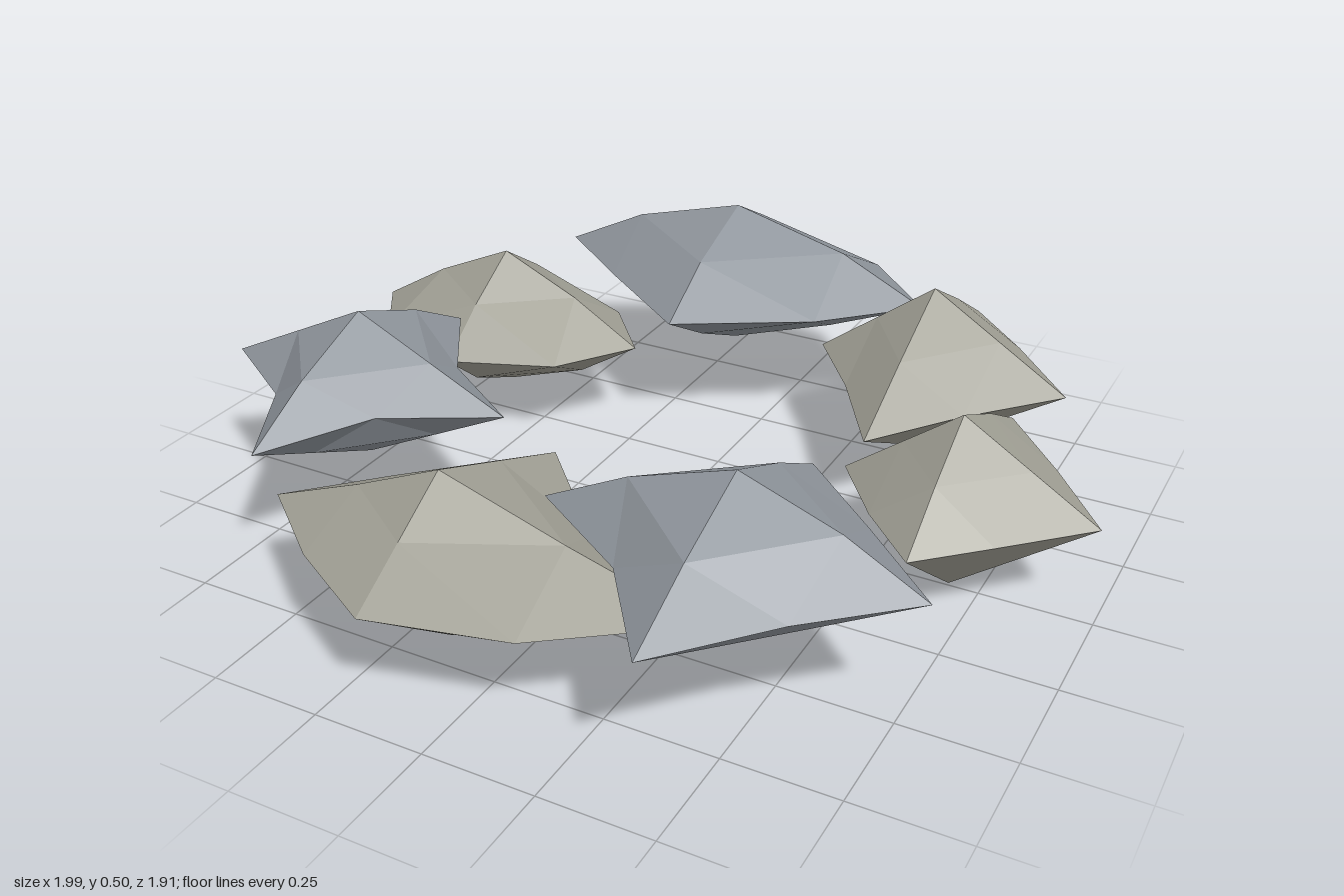
import * as THREE from 'three';

const warm = new THREE.MeshStandardMaterial({ color: 0xa3a297, flatShading: true });
const cool = new THREE.MeshStandardMaterial({ color: 0x90969d, flatShading: true });

// Stones in order around the ring.
// tips: reach of [+x, -x, +y, -y, +z, -z]; rim: bulge of the four waist corners
// in the order ++, -+, +-, --; ridge: bulge of [upper x, upper z, lower] ridges.
const stones = [
  { name: 'eastStone', mat: warm, tips: [0.31, 0.255, 0.19, 0.225, 0.3, 0.385],
    rim: [0.98, 0.95, 1.14, 1.03], ridge: [1, 1.04, 1] },
  { name: 'southEastStone', mat: cool, tips: [0.395, 0.425, 0.175, 0.195, 0.405, 0.37],
    rim: [0.94, 0.85, 0.97, 0.83], ridge: [1.1, 1.05, 1.06] },
  { name: 'southStone', mat: warm, tips: [0.595, 0.425, 0.175, 0.22, 0.29, 0.43],
    rim: [1.2, 0.89, 0.95, 1], ridge: [0.97, 1, 1] },
  { name: 'southWestStone', mat: cool, tips: [0.375, 0.36, 0.175, 0.18, 0.39, 0.385],
    rim: [0.7, 0.75, 0.8, 0.79], ridge: [1, 1.08, 1] },
  { name: 'northWestStone', mat: warm, tips: [0.37, 0.37, 0.19, 0.168, 0.28, 0.27],
    rim: [1.33, 1.34, 1.23, 1.18], ridge: [1.07, 1.05, 1.15] },
  { name: 'northStone', mat: cool, tips: [0.51, 0.49, 0.18, 0.19, 0.38, 0.275],
    rim: [1.23, 1.08, 1.25, 0.95], ridge: [1.15, 1.12, 1.05] },
  { name: 'northEastStone', mat: warm, tips: [0.34, 0.28, 0.21, 0.215, 0.42, 0.375],
    rim: [1.02, 0.92, 1.05, 0.9], ridge: [1, 1.02, 1] },
];

// Faceted stone: an octahedron with every edge split once
function stoneGeometry({ tips, rim, ridge }) {
  const points = [];
  const waistX = (tips[0] + tips[1]) / 4, waistZ = (tips[4] + tips[5]) / 4;
  for (const sx of [1, -1]) for (const sy of [1, -1]) for (const sz of [1, -1]) {
    const ix = sx > 0 ? 0 : 1, iy = sy > 0 ? 0 : 1, iz = sz > 0 ? 0 : 1;
    const X = new THREE.Vector3(sx * tips[ix], 0, 0);
    const Y = new THREE.Vector3(0, sy * tips[2 + iy], 0);
    const Z = new THREE.Vector3(0, 0, sz * tips[4 + iz]);
    const XY = X.clone().add(Y).multiplyScalar(ridge[iy ? 2 : 0] / 2);
    const YZ = Y.clone().add(Z).multiplyScalar(ridge[iy ? 2 : 1] / 2);
    const ZX = new THREE.Vector3(sx * waistX, 0, sz * waistZ).multiplyScalar(rim[ix + 2 * iz]);
    for (const face of [[X, XY, ZX], [XY, Y, YZ], [ZX, YZ, Z], [XY, YZ, ZX]]) {
      points.push(...(sx * sy * sz > 0 ? face : face.reverse()));
    }
  }
  const geometry = new THREE.BufferGeometry().setFromPoints(points);
  geometry.computeVertexNormals();
  return geometry;
}

export function createModel() {
  const group = new THREE.Group();
  group.name = 'stoneRing';
  stones.forEach((stone, i) => {
    const angle = (i / stones.length) * Math.PI * 2;
    const mesh = new THREE.Mesh(stoneGeometry(stone), stone.mat);
    mesh.name = stone.name;
    // Cool stones sit a little higher than warm ones
    mesh.position.set(
      0.69 * Math.cos(angle) - 0.01,
      stone.mat === cool ? 0.315 : 0.225,
      0.69 * Math.sin(angle) - 0.008,
    );
    group.add(mesh);
  });
  return group;
}
